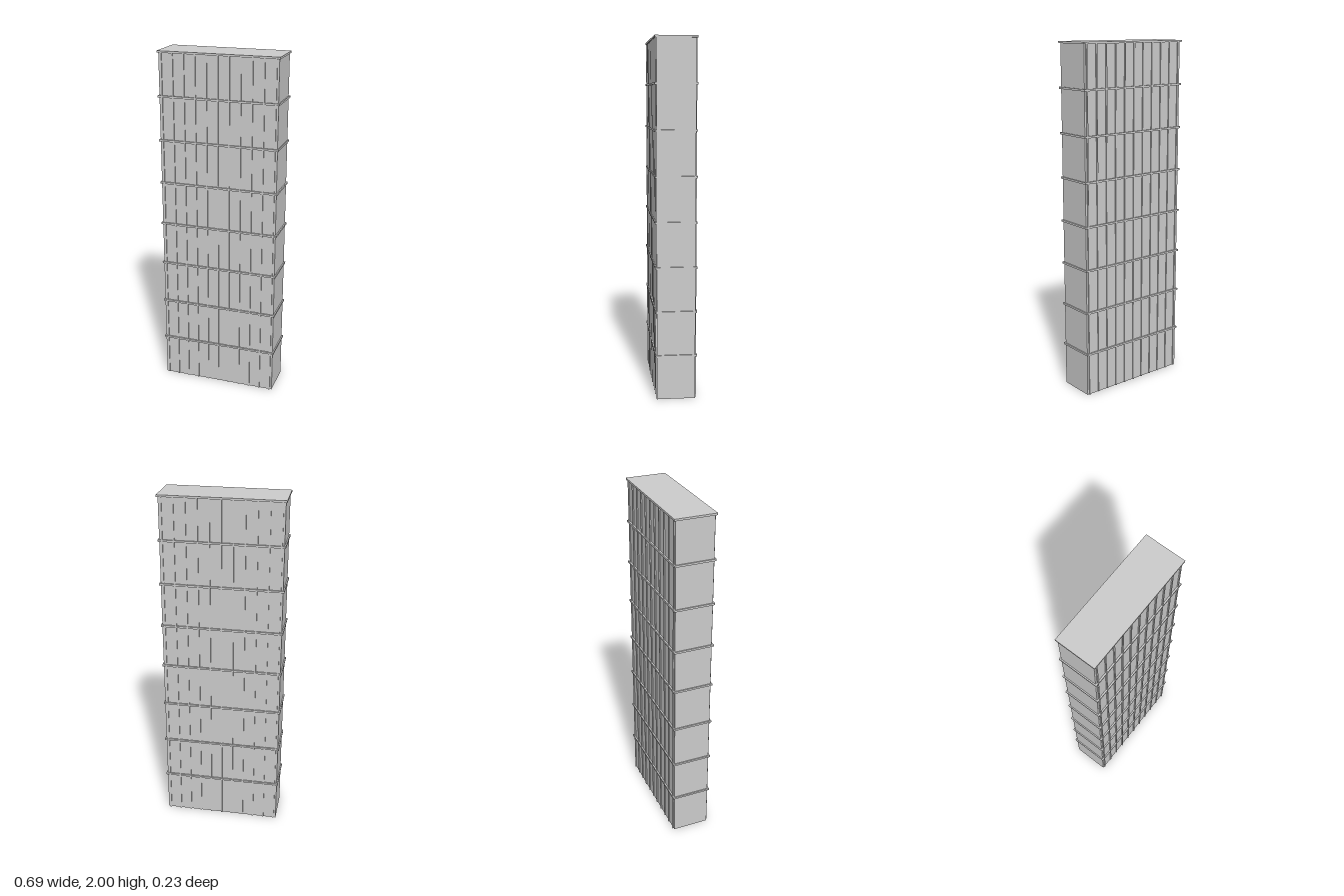
import * as THREE from 'three';

const WALL_X = 0.34, WALL_Z = 0.107, HEIGHT = 2;
const FLOORS = 8, FINS = 11, FIN_STEP = 0.065, SLAB_T = 0.011;

export function createModel() {
  const tower = new THREE.Group();
  tower.name = 'towerBlock';
  const material = new THREE.MeshStandardMaterial({ color: 0xcccccc });
  const shellMaterial = new THREE.MeshStandardMaterial({ color: 0xcccccc, side: THREE.DoubleSide });

  const add = (name, geometry, mat, x, y, z, turn = 0) => {
    const mesh = new THREE.Mesh(geometry, mat);
    mesh.name = name;
    mesh.position.set(x, y, z);
    mesh.rotation.y = turn;
    tower.add(mesh);
  };

  // Hollow shell of four walls, open underneath
  const longWall = new THREE.PlaneGeometry(WALL_X * 2, HEIGHT - SLAB_T);
  const endWall = new THREE.PlaneGeometry(WALL_Z * 2, HEIGHT - SLAB_T);
  const midY = (HEIGHT - SLAB_T) / 2;
  add('frontWall', longWall, shellMaterial, 0, midY, WALL_Z);
  add('backWall', longWall, shellMaterial, 0, midY, -WALL_Z, Math.PI);
  add('leftWall', endWall, shellMaterial, WALL_X, midY, 0, Math.PI / 2);
  add('rightWall', endWall, shellMaterial, -WALL_X, midY, 0, -Math.PI / 2);

  // Floor slabs projecting as thin bands, the last one forming the roof
  const slab = new THREE.BoxGeometry(0.694, SLAB_T, 0.233);
  for (let i = 1; i <= FLOORS; i++) {
    const roof = i === FLOORS;
    const y = (i * HEIGHT) / FLOORS - (roof ? SLAB_T / 2 : 0);
    add(roof ? 'roofSlab' : 'floorBand', slab, material, 0, y, 0);
  }

  // Vertical fins on both long faces
  const fin = new THREE.BoxGeometry(0.008, HEIGHT - SLAB_T, 0.006);
  for (const side of [1, -1]) {
    for (let i = 0; i < FINS; i++) {
      const x = (i - (FINS - 1) / 2) * FIN_STEP;
      add(side > 0 ? 'frontFin' : 'backFin', fin, material, x, midY, side * (WALL_Z + 0.003));
    }
  }
  return tower;
}
